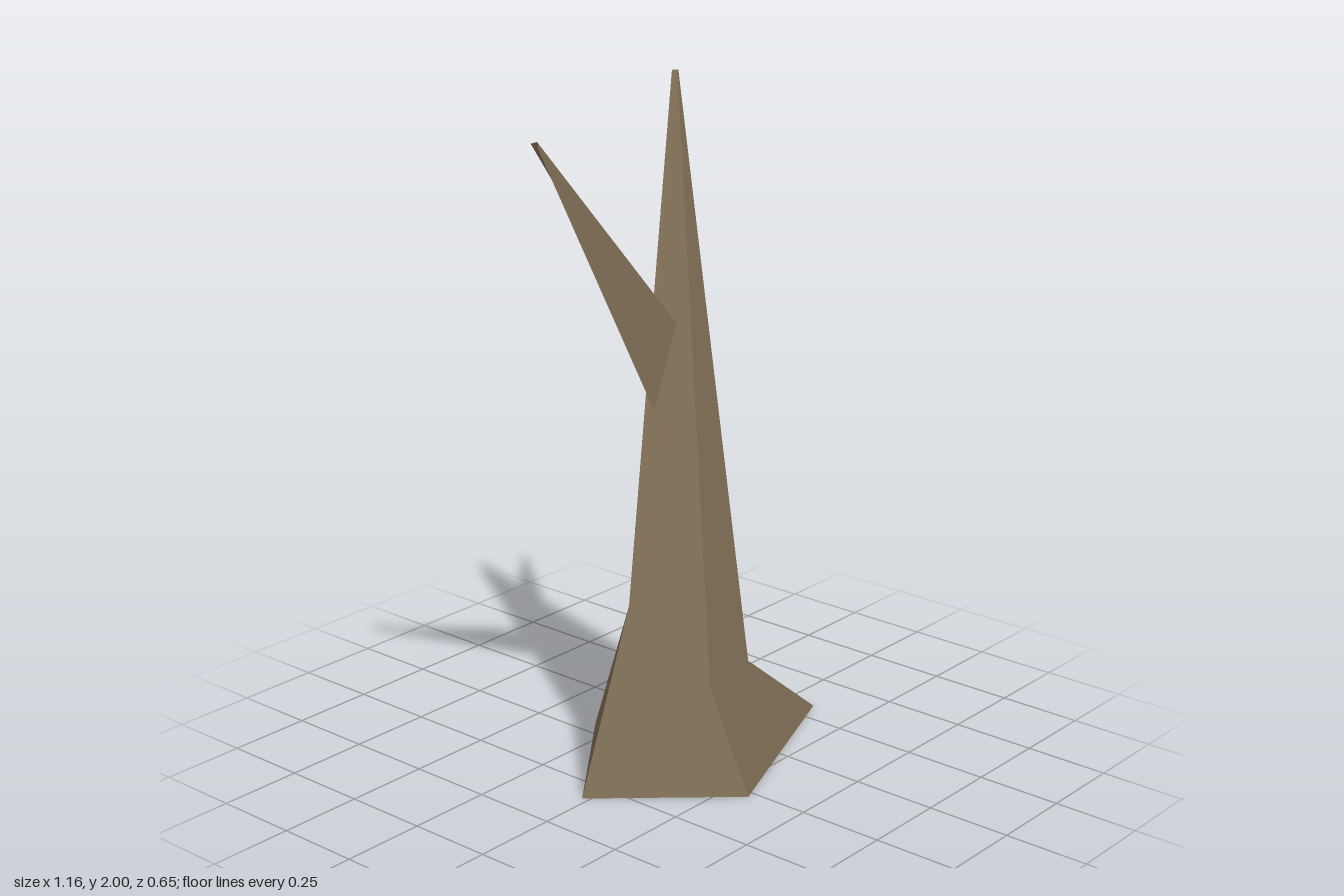
import * as THREE from 'three';

const bark = new THREE.MeshStandardMaterial({ color: 0x88765c, side: THREE.DoubleSide });
bark.name = 'bark';

// Skin between rings of corners (base to tip), with one flat normal per side and a closed tip.
function loft(rings) {
  const pos = [], nor = [];
  const v = (p) => new THREE.Vector3(...p);
  const normalOf = (a, b, c) => v(b).sub(v(a)).cross(v(c).sub(v(a))).normalize();
  const tri = (n, ...pts) => pts.forEach((p) => { pos.push(...p); nor.push(n.x, n.y, n.z); });
  const count = rings[0].length, last = rings.length - 1, tip = rings[last];
  for (let i = 0; i < count; i++) {
    const j = (i + 1) % count;
    const n = normalOf(rings[last - 1][i], rings[last - 1][j], tip[j]);
    for (let r = 0; r < last; r++) {
      const a = rings[r], b = rings[r + 1];
      tri(n, a[i], a[j], b[j]);
      tri(n, a[i], b[j], b[i]);
    }
  }
  const up = normalOf(tip[0], tip[1], tip[2]);
  for (let i = 1; i < count - 1; i++) tri(up, tip[0], tip[i], tip[i + 1]);
  const g = new THREE.BufferGeometry();
  g.setAttribute('position', new THREE.Float32BufferAttribute(pos, 3));
  g.setAttribute('normal', new THREE.Float32BufferAttribute(nor, 3));
  return g;
}

// Three-sided branch, its root pushed a little further into the trunk.
function branch(root, tip, extend) {
  const sunk = root.map((p, i) => p.map((c, k) => tip[i][k] + (c - tip[i][k]) * extend));
  return loft([sunk, tip]);
}

export function createModel() {
  const group = new THREE.Group();
  group.name = 'bareTree';
  const add = (name, geometry) => {
    const mesh = new THREE.Mesh(geometry, bark);
    mesh.name = name;
    group.add(mesh);
  };

  // Trunk: four corners per ring (right, front, left, back), flared roots, open underneath
  add('trunk', loft([
    [[-0.335, 0, -0.02], [-0.025, 0, 0.325], [0.577, 0, 0.093], [0.058, 0, -0.325]],
    [[-0.16, 0.53, 0.003], [-0.005, 0.28, 0.168], [0.3, 0.23, 0.06], [0.042, 0.2, -0.195]],
    [[0.001, 2, 0.02], [0.011, 2, 0.031], [0.024, 2, 0.023], [0.015, 2, 0.011]],
  ]));

  // Long branch reaching up to the right side
  add('longBranch', branch(
    [[-0.09, 1.1, 0.028], [-0.02, 1.32, 0.058], [-0.075, 1.25, 0.015]],
    [[-0.575, 1.892, 0.079], [-0.58, 1.91, 0.081], [-0.577, 1.902, 0.056]], 1.08));

  // Short branch reaching back to the left side
  add('shortBranch', branch(
    [[0.09, 1.49, 0.015], [0.1, 1.395, 0], [0.035, 1.485, -0.04]],
    [[0.309, 1.622, -0.205], [0.305, 1.6, -0.204], [0.302, 1.627, -0.209]], 1.15));

  return group;
}
